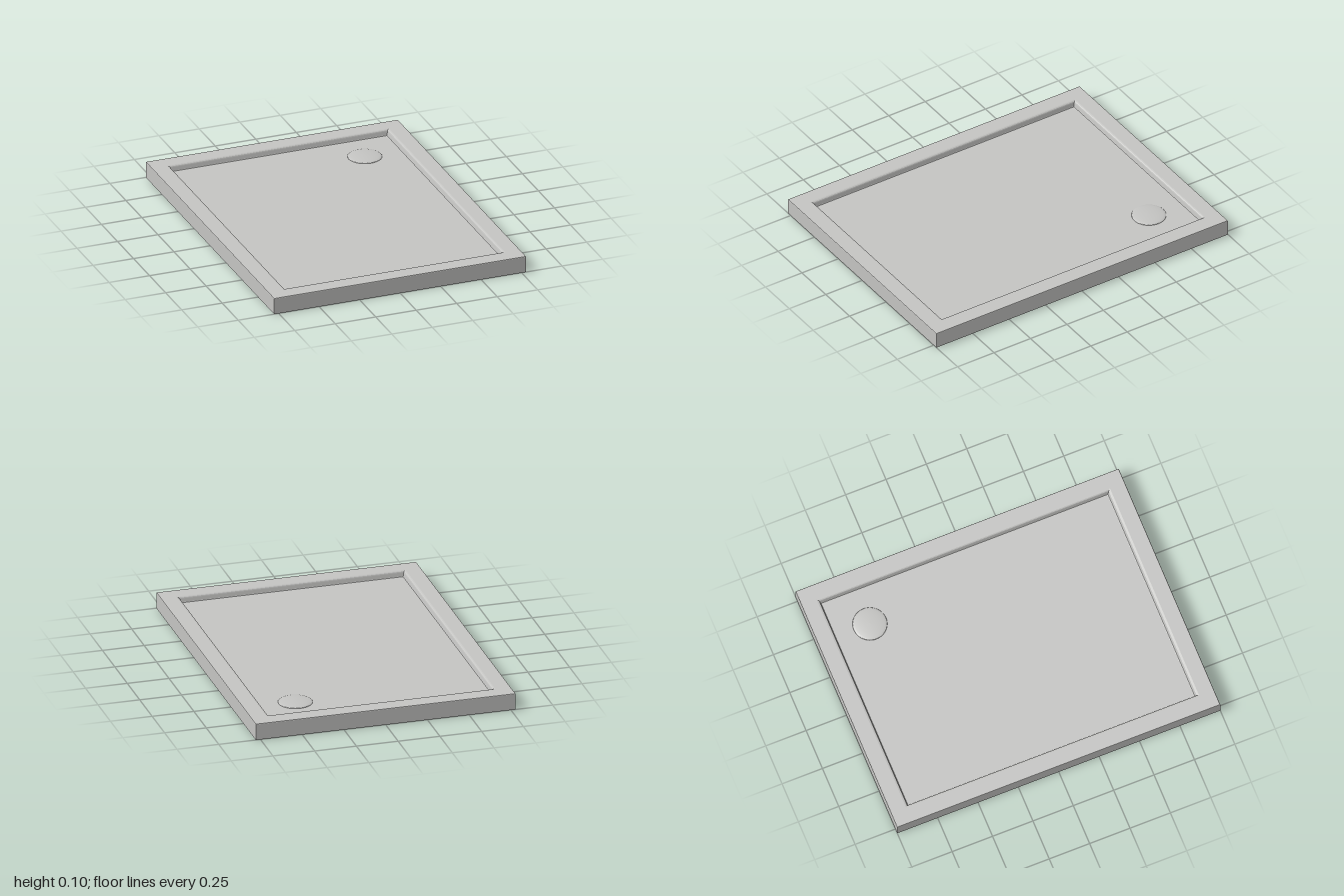
import * as THREE from 'three';

const HALF_X = 0.778, HALF_Z = 1, FLOOR_Y = 0.064;

// Sweeps a profile of [inset, y] points around the rectangular outline.
function rectangularSweep(profile) {
  const pos = [];
  const corner = ([inset, y], i) => {
    const sx = [1, 1, -1, -1][i % 4], sz = [1, -1, -1, 1][i % 4];
    return [sx * (HALF_X - inset), y, sz * (HALF_Z - inset)];
  };
  for (let p = 0; p < profile.length - 1; p++) {
    for (let i = 0; i < 4; i++) {
      const a = corner(profile[p], i), b = corner(profile[p], i + 1);
      const c = corner(profile[p + 1], i + 1), d = corner(profile[p + 1], i);
      pos.push(...a, ...b, ...c, ...a, ...c, ...d);
    }
  }
  const g = new THREE.BufferGeometry();
  g.setAttribute('position', new THREE.Float32BufferAttribute(pos, 3));
  g.computeVertexNormals();
  return g;
}

export function createModel() {
  const group = new THREE.Group();
  group.name = 'showerTray';
  const acrylic = new THREE.MeshStandardMaterial({ color: 0xc4c4c2, side: THREE.DoubleSide });
  acrylic.name = 'light grey acrylic';

  const add = (name, geometry) => {
    const mesh = new THREE.Mesh(geometry, acrylic);
    mesh.name = name;
    group.add(mesh);
    return mesh;
  };

  // Thin outer skirt, open underneath
  add('skirt', rectangularSweep([[0, 0], [0, 0.095]]));

  // Rim with softened outer and inner edges, stepping down to the floor
  add('rim', rectangularSweep([
    [0, 0.095], [0.0015, 0.0985], [0.005, 0.1],
    [0.092, 0.1], [0.099, 0.0985], [0.104, 0.0945], [0.106, 0.089],
    [0.110, 0.069], [0.112, 0.0655], [0.116, FLOOR_Y],
  ]));

  // Recessed floor
  const floor = new THREE.PlaneGeometry(2 * (HALF_X - 0.116), 2 * (HALF_Z - 0.116));
  floor.rotateX(-Math.PI / 2);
  add('floor', floor).position.y = FLOOR_Y;

  // Shallow domed drain cover, its lip showing just below the floor
  const dome = [[0.1, -0.008], [0.1, 0.001], [0.097, 0.004], [0.085, 0.007], [0.06, 0.01], [0.03, 0.012], [0, 0.0125]];
  const cover = add('drainCover', new THREE.LatheGeometry(dome.map(([r, y]) => new THREE.Vector2(r, y)), 48));
  cover.position.set(0.445, FLOOR_Y, -0.675);

  return group;
}
